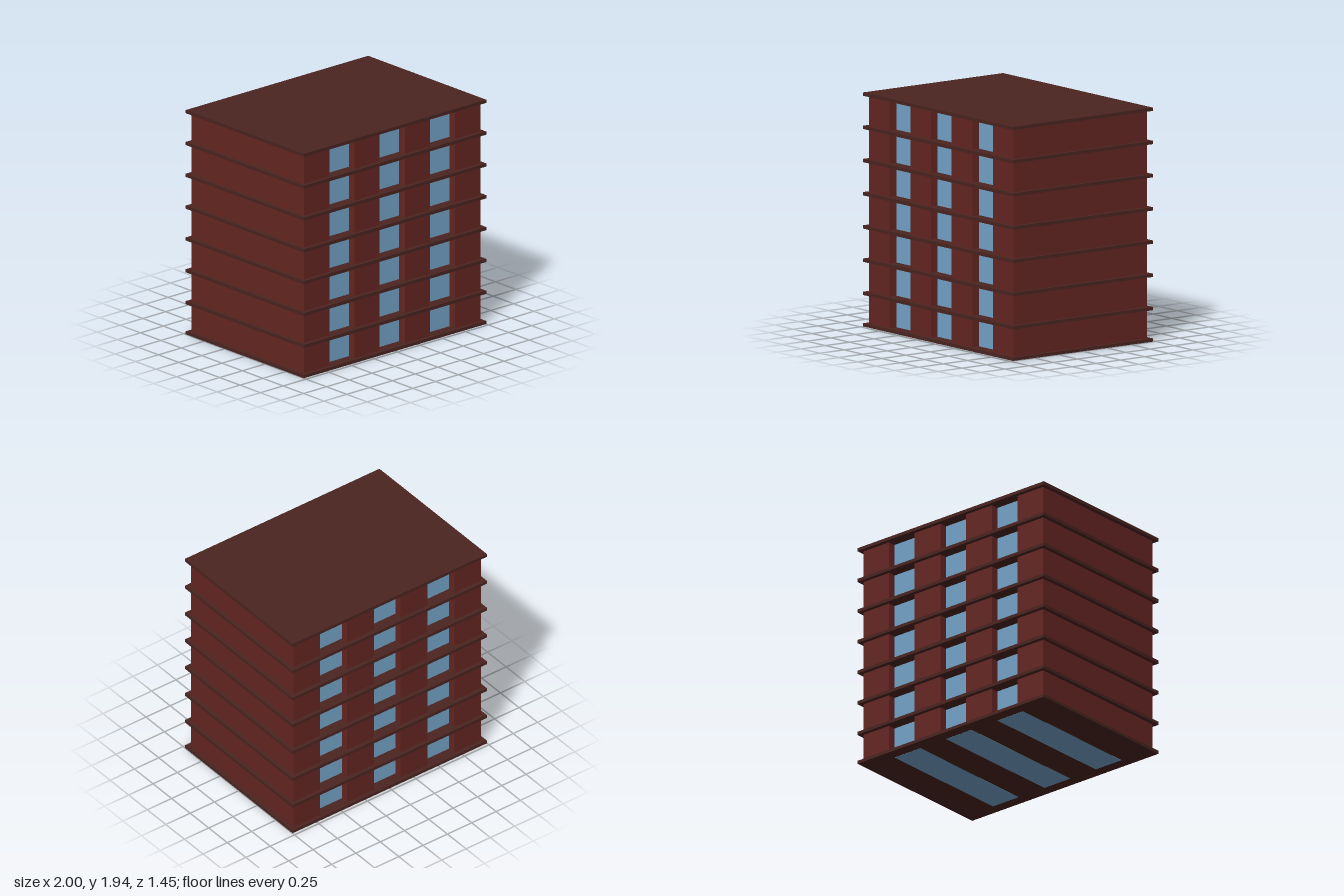
import * as THREE from 'three';

const U = 1 / 3.625; // one bay width, also one storey height
const STOREYS = 7;
const BAYS = 7;      // alternating brick piers and window bays

const brick = new THREE.MeshStandardMaterial({ color: 0x652622 });
const slabDark = new THREE.MeshStandardMaterial({ color: 0x4a2420 });
const glass = new THREE.MeshStandardMaterial({ color: 0x74a4c9 });

// Box given by its size, centre x and lower edge, all in bay units
function box(name, material, w, h, d, x, y0) {
  const mesh = new THREE.Mesh(new THREE.BoxGeometry(w * U, h * U, d * U), material);
  mesh.position.set(x * U, (y0 + h / 2) * U, 0);
  mesh.name = name;
  return mesh;
}

export function createModel() {
  const building = new THREE.Group();
  building.name = 'apartmentBlock';

  // Storeys: brick piers run the full depth, glazing sits back on both faces
  for (let s = 0; s < STOREYS; s++) {
    const storey = new THREE.Group();
    storey.name = `storey${s + 1}`;
    for (let b = 0; b < BAYS; b++) {
      const x = b - (BAYS - 1) / 2;
      const isWindow = b % 2 === 1;
      if (isWindow) storey.add(box('windowBay', glass, 1, 1, 4.5, x, s));
      else {
        const lift = s === 0 ? 0.05 : 0; // ground piers stand inside the base slab
        storey.add(box('brickPier', brick, 1, 1 - lift, 5, x, s + lift));
      }
    }
    building.add(storey);
  }

  // Base slab, a hair above the underside of the glazing
  building.add(box('baseSlab', slabDark, 7.25, 0.096, 5.25, 0, 0.004));

  // Overhanging floor slabs, the topmost being the roof
  for (let s = 1; s <= STOREYS; s++) {
    building.add(box(s === STOREYS ? 'roofSlab' : 'floorSlab', slabDark, 7.25, 0.1, 5.25, 0, s - 0.05));
  }
  return building;
}
